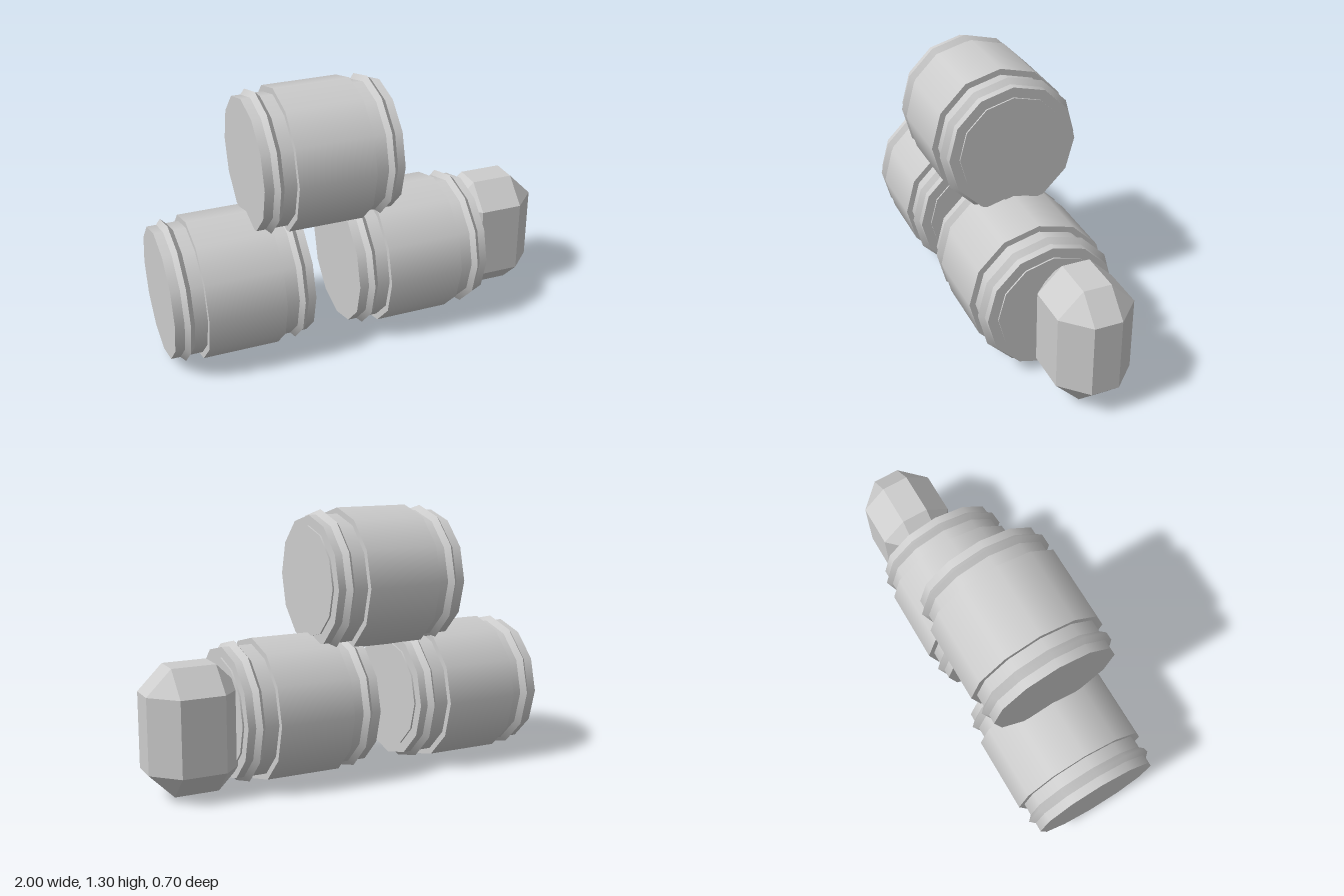
import * as THREE from 'three';
import { ConvexGeometry } from 'three/addons/geometries/ConvexGeometry.js';

const grey = new THREE.MeshStandardMaterial({ color: 0xcccccc });
grey.name = 'light grey';

// Twelve-sided section along x, from x0 (radius r0) to x1 (radius r1)
function section(name, x0, x1, r0, r1, open = false) {
  const geometry = new THREE.CylinderGeometry(r1, r0, x1 - x0, 12, 1, open);
  geometry.rotateZ(-Math.PI / 2);
  geometry.translate((x0 + x1) / 2, 0, 0);
  const mesh = new THREE.Mesh(geometry, grey);
  mesh.name = name;
  return mesh;
}

// Barrel lying on its side, starting at x = 0
function createBarrel() {
  const barrel = new THREE.Group();
  barrel.add(section('core', 0, 0.68, 0.32, 0.32));
  barrel.add(section('body', 0.153, 0.528, 0.35, 0.35));
  barrel.add(section('lid', 0.675, 0.688, 0.27, 0.27));
  // Pointed hoops near both ends
  for (const [a, peak, b] of [[0.045, 0.068, 0.092], [0.597, 0.618, 0.642]]) {
    barrel.add(section('hoopRise', a, peak, 0.32, 0.345, true));
    barrel.add(section('hoopFall', peak, b, 0.345, 0.32, true));
  }
  return barrel;
}

// Block with every edge and corner cut off
function createBlock() {
  const half = [0.227, 0.3025, 0.188];
  const cut = 0.12;
  const points = [];
  for (const sx of [-1, 1]) for (const sy of [-1, 1]) for (const sz of [-1, 1]) {
    for (let full = 0; full < 3; full++) {
      const p = [sx, sy, sz].map((s, i) => s * (i === full ? half[i] : half[i] - cut));
      points.push(new THREE.Vector3(...p));
    }
  }
  const mesh = new THREE.Mesh(new ConvexGeometry(points), grey);
  mesh.name = 'bevelledBlock';
  return mesh;
}

export function createModel() {
  const model = new THREE.Group();
  model.name = 'barrelStack';

  // Two barrels below, one resting on top
  const places = [
    ['rightBarrel', -1, 0.35],
    ['topBarrel', -0.552, 0.95],
    ['leftBarrel', -0.096, 0.35],
  ];
  for (const [name, x, y] of places) {
    const barrel = createBarrel();
    barrel.name = name;
    barrel.position.set(x, y, 0);
    model.add(barrel);
  }

  const block = createBlock();
  block.position.set(0.773, 0.3225, -0.075);
  model.add(block);
  return model;
}
